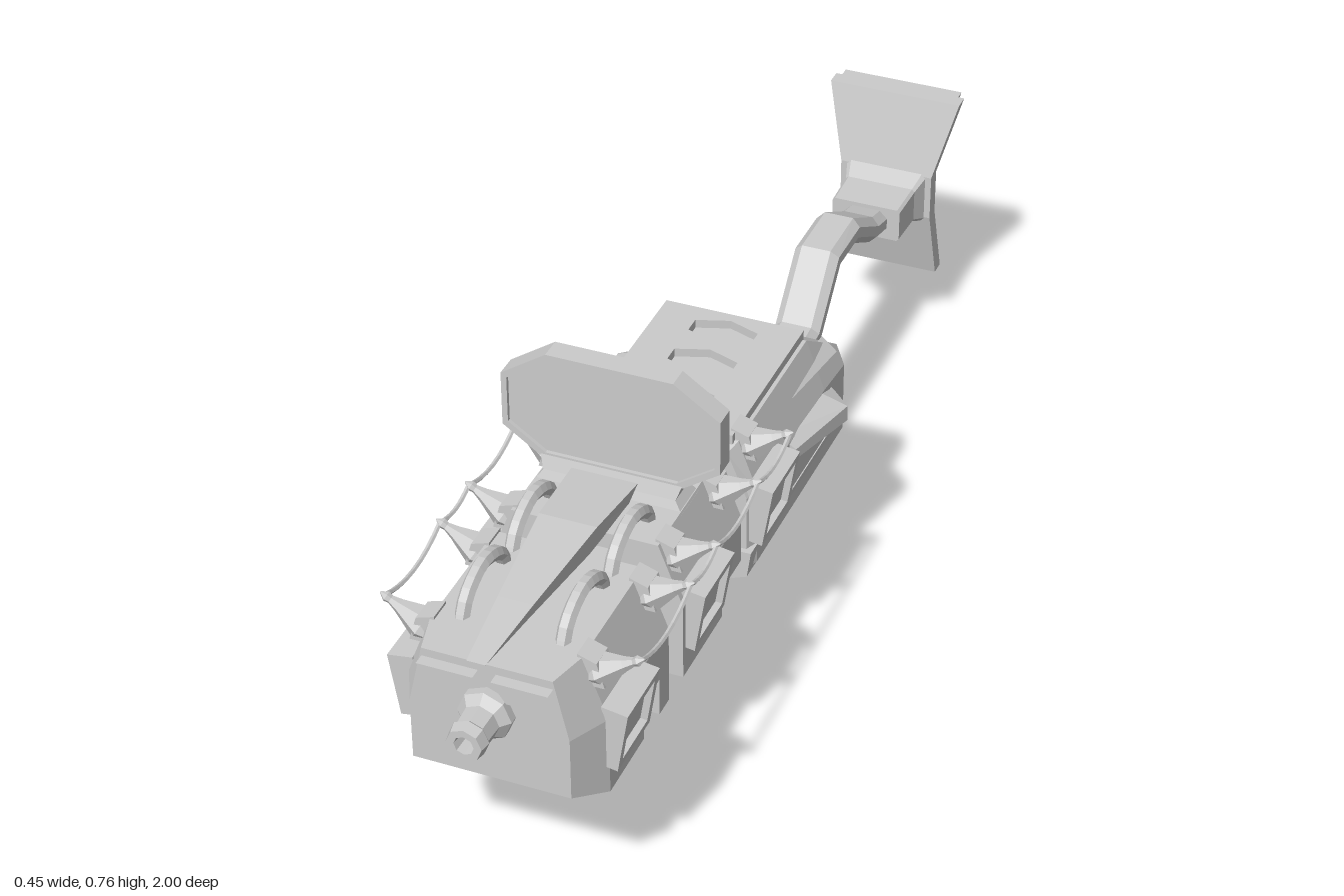
import * as THREE from 'three';

const mat = new THREE.MeshStandardMaterial({ color: 0xcccccc, flatShading: true });

// Closed hull through rings of [x, y, z] points, capped at both ends
function loft(rings) {
  const n = rings[0].length, idx = [];
  for (let r = 0; r < rings.length - 1; r++)
    for (let i = 0; i < n; i++) {
      const a = r * n + i, b = r * n + (i + 1) % n;
      idx.push(a, b, b + n, a, b + n, a + n);
    }
  const last = (rings.length - 1) * n;
  for (let i = 1; i < n - 1; i++) idx.push(0, i + 1, i, last, last + i, last + i + 1);
  const pts = rings.flat().map(p => new THREE.Vector3(...p));
  // Turn the faces outward whatever way the rings run
  let volume = 0;
  const cross = new THREE.Vector3();
  for (let i = 0; i < idx.length; i += 3)
    volume += pts[idx[i]].dot(cross.crossVectors(pts[idx[i + 1]], pts[idx[i + 2]]));
  if (volume < 0) idx.reverse();
  const g = new THREE.BufferGeometry().setFromPoints(pts);
  g.setIndex(idx);
  const flat = g.toNonIndexed();
  flat.computeVertexNormals();
  return flat;
}

// Six-sided housing section: straight lower walls, sloping shoulders
const section = (z, { w = 0.17, low = 0.264, mid = 0.41, tw = 0.128, top = 0.52 } = {}) =>
  [[-w, low, z], [w, low, z], [w, mid, z], [tw, top, z], [-tw, top, z], [-w, mid, z]];

// Rectangle with cut corners, half sizes a and b
const cutRect = (a, b, k = 0.35) => {
  const c = Math.min(a, b) * k;
  return [[-a, -b + c], [-a + c, -b], [a - c, -b], [a, -b + c], [a, b - c], [a - c, b], [-a + c, b], [-a, b - c]];
};
const shapeOf = pts => new THREE.Shape(pts.map(p => new THREE.Vector2(...p)));
const pathOf = pts => new THREE.Path(pts.map(p => new THREE.Vector2(...p)));
const extrude = (shape, depth) => new THREE.ExtrudeGeometry(shape, { depth, bevelEnabled: false });

export function createModel() {
  const model = new THREE.Group();
  const add = (name, geo, x = 0, y = 0, z = 0, parent = model) => {
    const m = new THREE.Mesh(geo, mat);
    m.name = name;
    m.position.set(x, y, z);
    parent.add(m);
    return m;
  };
  const box = (name, x0, x1, y0, y1, z0, z1) =>
    add(name, new THREE.BoxGeometry(x1 - x0, y1 - y0, z1 - z0), (x0 + x1) / 2, (y0 + y1) / 2, (z0 + z1) / 2);

  // Front housing with a bevelled nose and a notch in its underside
  add('frontHousing', loft([section(0.705), section(0.84),
    section(0.91, { w: 0.135, low: 0.295, tw: 0.11 })]));
  add('frontHousingNotch', loft([section(0.64, { low: 0.335 }), section(0.705, { low: 0.335 })]));
  add('frontHousingRear', loft([section(0.6), section(0.64)]));
  for (const s of [-1, 1]) {
    const flap = shapeOf([[s * 0.11, 0.505], [s * 0.085, 0.47], [s * 0.04, 0.47], [s * 0.015, 0.505]]);
    add('noseFlap', extrude(flap, 0.025), 0, 0, 0.905);
  }

  // Middle housing, cut away below at its rear
  add('middleHousing', loft([section(0.37), section(0.54)]));
  add('middleHousingNotch', loft([section(0.285, { low: 0.32 }), section(0.37, { low: 0.32 })]));
  box('middleHousingFoot', -0.12, 0.12, 0.275, 0.33, 0.3, 0.37);

  // Core and lower rail joining the housings
  box('core', -0.05, 0.05, 0.375, 0.49, 0.2, 0.65);
  const rail = cutRect(0.047, 0.045, 0.4);
  add('lowerRail', loft([0.465, 0.695].map(z => rail.map(([x, y]) => [x, 0.25 + y, z]))));
  box('railBlock', -0.05, 0.05, 0.27, 0.345, 0.6, 0.7);

  // Rear housing: sloping back, base plate and a lid with three hexagonal recesses
  add('rearHousing', loft([
    section(-0.21, { mid: 0.4, tw: 0.155, top: 0.44 }),
    section(-0.11, { tw: 0.135, top: 0.505 }),
    section(0.21, { tw: 0.135, top: 0.505 }),
    section(0.235, { w: 0.16, tw: 0.125, top: 0.495 })]));
  const plate = [[0.14, 0.245], [0.165, 0.255], [0.172, 0.305], [-0.172, 0.305], [-0.165, 0.255], [-0.14, 0.245]];
  add('basePlate', loft([-0.215, 0.245].map(z => plate.map(([x, y]) => [x, y, z]))));
  const lid = shapeOf([[-0.128, -0.22], [0.128, -0.22], [0.128, 0.115], [-0.128, 0.115]]);
  for (const z of [-0.06, 0.035, 0.14])
    lid.holes.push(pathOf([[0, 0.036], [-0.058, 0.016], [-0.058, -0.016], [0, -0.036], [0.058, -0.016], [0.058, 0.016]]
      .map(([x, y]) => [x, y - z])));
  add('rearLid', extrude(lid, 0.018), 0, 0.503, 0).rotation.x = -Math.PI / 2;

  for (const s of [-1, 1]) {
    // Side fin on the rear housing
    const fin = (z, x, y0, y1) => [[s * 0.15, y0 - 0.01, z], [s * x, y0 + 0.01, z], [s * x, y1 - 0.01, z], [s * 0.15, y1 + 0.01, z]];
    add('sideFin', loft([fin(-0.145, 0.175, 0.36, 0.4), fin(-0.1, 0.217, 0.355, 0.405), fin(0.06, 0.182, 0.37, 0.41)]));

    // Vent strip running back along the sloping shoulder
    add('shoulderStrip', loft([
      [[s * 0.13, 0.46, 0.0], [s * 0.152, 0.46, 0.0], [s * 0.13, 0.475, 0.0]],
      [[s * 0.13, 0.445, -0.175], [s * 0.168, 0.45, -0.175], [s * 0.14, 0.475, -0.175]]]));

    // Framed side panels, leaning in toward the bottom
    for (const z of [0.782, 0.465, 0.165]) {
      const panel = new THREE.Group();
      panel.name = 'sidePanel';
      const frame = shapeOf([[-0.064, -0.058], [0.064, -0.058], [0.064, 0.058], [-0.064, 0.058]]);
      frame.holes.push(pathOf([[-0.049, -0.043], [-0.049, 0.043], [0.049, 0.043], [0.049, -0.043]]));
      add('panelFrame', extrude(frame, 0.045), 0, 0, -0.045, panel);
      add('panelInset', new THREE.BoxGeometry(0.1, 0.088, 0.03), 0, 0, -0.027, panel);
      panel.rotation.set(0, s * Math.PI / 2, 0);
      panel.rotateX(0.16);
      panel.position.set(s * 0.195, 0.372, z);
      model.add(panel);
    }

    // Shoulder spikes on brackets, strung together by a sagging cable
    const spikes = [0.82, 0.618, 0.51, 0.33, 0.185];
    for (const z of spikes) {
      add('spikeBracket', loft([
        [0.105, 0.52, 0.02], [0.155, 0.512, 0.023], [0.16, 0.475, 0.023]].length && [z - 0.022, z + 0.022].map(q =>
        [[s * 0.125, 0.47, q], [s * 0.165, 0.47, q], [s * 0.152, 0.515, q], [s * 0.12, 0.526, q]])));
      const profile = [[0.001, -0.01], [0.02, 0], [0.03, 0.03], [0.012, 0.075], [0.007, 0.092], [0.009, 0.1], [0.001, 0.112]]
        .map(p => new THREE.Vector2(...p));
      const spike = add('spike', new THREE.LatheGeometry(profile, 6), s * 0.125, 0.475, z);
      spike.rotation.z = -s * 1.06;
    }
    for (let i = 0; i < spikes.length - 1; i++) {
      const [a, b] = [spikes[i], spikes[i + 1]], x = s * 0.216;
      const curve = new THREE.QuadraticBezierCurve3(new THREE.Vector3(x, 0.525, a),
        new THREE.Vector3(x, 0.525 - (a - b) * 0.25, (a + b) / 2), new THREE.Vector3(x, 0.525, b));
      add('cable', new THREE.TubeGeometry(curve, 8, 0.004, 5));
    }

    // Arched pipes on top of the front and middle housings
    for (const z of [0.738, 0.553]) {
      const arch = new THREE.CatmullRomCurve3([[-0.083, 0.505], [-0.06, 0.545], [0, 0.567], [0.06, 0.545], [0.083, 0.505]]
        .map(([dz, y]) => new THREE.Vector3(s * 0.085, y, z + dz)));
      add('archedPipe', new THREE.TubeGeometry(arch, 12, 0.013, 6));
    }
  }

  // Muzzle: stepped eight-sided barrel with a bored end
  const barrel = [[0.046, 0.9], [0.046, 0.925], [0.032, 0.94], [0.03, 0.975], [0.034, 0.98], [0.03, 1], [0.017, 1], [0.012, 0.95], [0.001, 0.95]];
  const muzzle = add('muzzle', new THREE.LatheGeometry(barrel.map(p => new THREE.Vector2(...p)), 8), 0, 0.43, 0);
  muzzle.rotation.x = Math.PI / 2;

  // Tapered blade along the top, overhanging the nose
  add('topBlade', loft([[0.455, 0.058, 0.565, 0.04, 0.515], [0.6, 0.05, 0.577, 0.036, 0.52],
    [0.8, 0.03, 0.563, 0.022, 0.535], [0.945, 0.016, 0.55, 0.008, 0.542]].map(([z, tw, ty, bw, by]) =>
    [[-bw, by, z], [bw, by, z], [tw, ty, z], [-tw, ty, z]])));

  // Upright screen: raised octagonal rim, thin pane and flared foot
  const octagon = k => [[0.11, 0.1], [0.19, 0.045], [0.19, -0.055], [0.125, -0.1], [-0.125, -0.1], [-0.19, -0.055], [-0.19, 0.045], [-0.11, 0.1]]
    .map(([x, y]) => [x - Math.sign(x) * k, y - Math.sign(y) * k * 0.7]);
  const rim = shapeOf(octagon(0));
  rim.holes.push(pathOf(octagon(0.01).reverse()));
  add('screenRim', extrude(rim, 0.04), 0, 0.656, 0.39);
  add('screenPane', extrude(shapeOf(octagon(0.005)), 0.026), 0, 0.656, 0.397);
  const foot = (y, w, d) => [[-w, y, 0.41 - d], [w, y, 0.41 - d], [w, y, 0.41 + d], [-w, y, 0.41 + d]];
  add('screenFoot', loft([foot(0.515, 0.13, 0.036), foot(0.535, 0.116, 0.028), foot(0.562, 0.125, 0.019)]));

  // Pistol grip, swept back with a flared heel, and trigger
  add('grip', loft([[0.25, -0.095, 0.044, 0.07], [0.2, -0.105, 0.045, 0.06], [0.12, -0.135, 0.046, 0.056],
    [0.055, -0.162, 0.043, 0.056], [0.025, -0.172, 0.047, 0.06], [0.0, -0.17, 0.04, 0.05]].map(([y, z, w, d], i) =>
    cutRect(w, d, 0.5).map(([x, q]) => [x, y + (i > 2 ? (q + d) * 0.13 * (y > 0 ? -0.5 : 0) + (q < 0 ? 0.012 : 0) : 0), z + q]))));
  add('trigger', loft([[0.25, 0.005, 0.014], [0.225, 0.0, 0.009], [0.205, 0.012, 0.004]].map(([y, z, d]) =>
    [[-0.008, y, z - d], [0.008, y, z - d], [0.008, y, z + d], [-0.008, y, z + d]])));

  // Bent stock arm: [z, y, half width, half height, tilt]
  add('stockArm', loft([[-0.2, 0.283, 0.08, 0.024, 0], [-0.235, 0.283, 0.078, 0.024, 0], [-0.33, 0.283, 0.045, 0.022, 0],
    [-0.435, 0.285, 0.043, 0.024, 0.4], [-0.535, 0.392, 0.043, 0.025, 0.42], [-0.64, 0.392, 0.043, 0.025, -0.25],
    [-0.75, 0.33, 0.043, 0.025, -0.3], [-0.83, 0.31, 0.043, 0.025, 0]].map(([z, y, w, h, t]) =>
    cutRect(w, h, 0.6).map(([x, q]) => [x, y + q * Math.cos(t), z + q * Math.sin(t)]))));
  add('stockConnector', loft([[-0.8, 0.068, 0.034], [-0.88, 0.07, 0.036], [-0.93, 0.085, 0.06]].map(([z, w, h]) =>
    cutRect(w, h, 0.15).map(([x, y]) => [x, y + 0.317, z]))));

  // Butt plate and pad, bent back at both ends: [y, z, half width]
  const buttLine = [[0.515, -0.965, 0.13], [0.365, -0.928, 0.092], [0.275, -0.928, 0.092], [0.13, -0.965, 0.096]];
  const slab = (z0, z1, k) => loft(buttLine.map(([y, z, w]) =>
    [[-w + k, y, z - z0], [w - k, y, z - z0], [w - k, y, z - z1], [-w + k, y, z - z1]]));
  add('buttPlate', slab(-0.015, 0.015, 0));
  add('buttPad', slab(0.014, 0.035, 0.012));

  return model;
}
